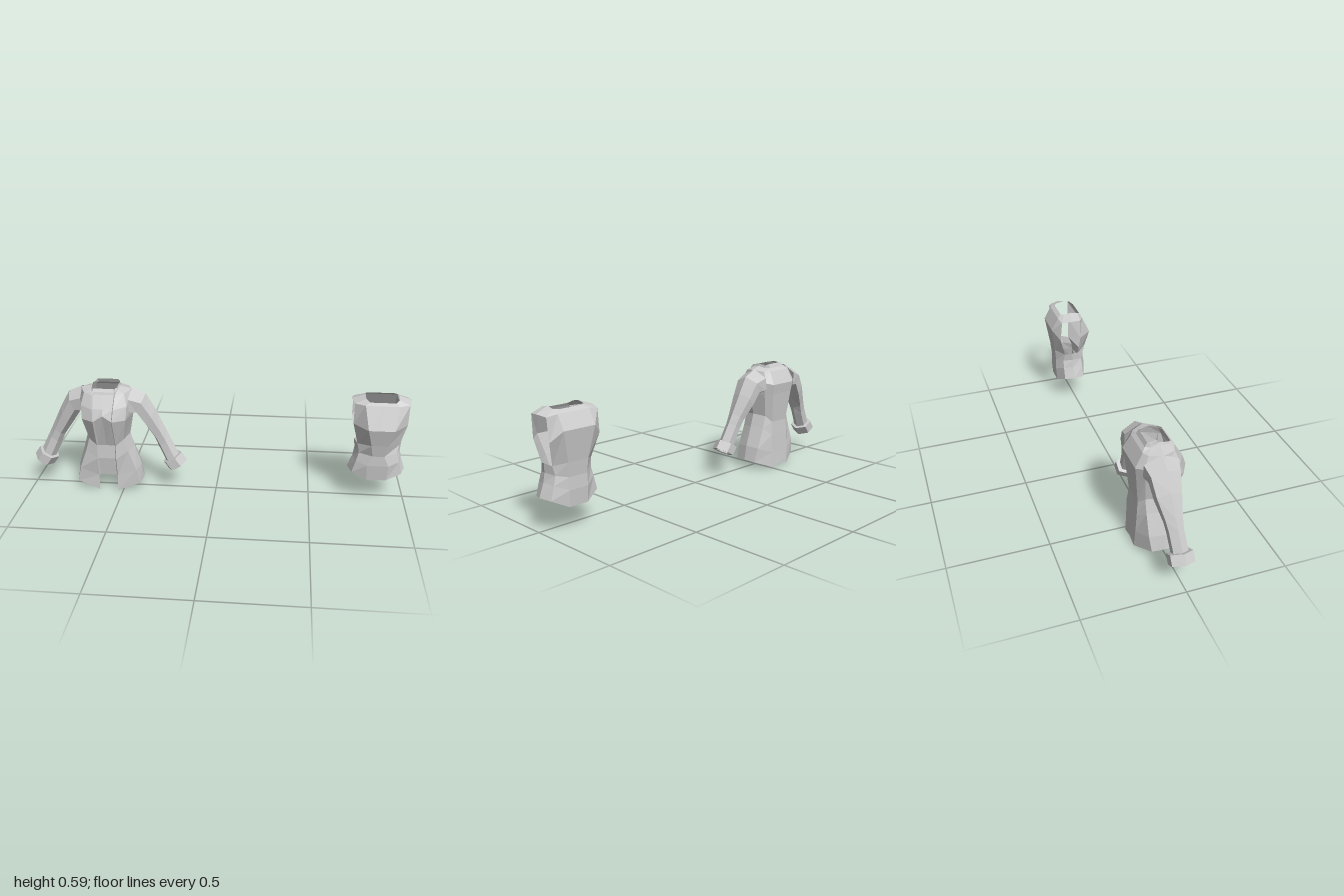
import * as THREE from 'three';

const material = new THREE.MeshStandardMaterial({ color: 0xcccccc, flatShading: true, side: THREE.DoubleSide });

// Skins a stack of closed rings; skip(level, column) leaves a quad open.
function loft(name, rings, skip = () => false) {
  const n = rings[0].length, index = [];
  for (let l = 0; l < rings.length - 1; l++) {
    for (let i = 0; i < n; i++) {
      if (skip(l, i)) continue;
      const j = (i + 1) % n, a = l * n + i, b = l * n + j;
      index.push(a, b, b + n, a, b + n, a + n);
    }
  }
  let geometry = new THREE.BufferGeometry();
  geometry.setAttribute('position', new THREE.Float32BufferAttribute(rings.flat(2), 3));
  geometry.setIndex(index);
  geometry = geometry.toNonIndexed();
  geometry.computeVertexNormals();
  const mesh = new THREE.Mesh(geometry, material);
  mesh.name = name;
  return mesh;
}

// Half a torso section, front centre round the +x side to back centre, from
// front edge x, y, z | corner x, side x, y, front z, back z | back edge x, y, z
const halfRing = ([fx, fy, fz, cx, sx, sy, sf, sb, bx, by, bz]) => [
  [0, fy, fz], [fx, fy, fz],
  [cx, sy, sf], [sx, sy + 0.008, (sf + sb) / 2], [cx, sy, sb],
  [bx, by, bz], [0, by, bz]];

const mirrorRing = (half) => [...half, ...half.slice(1, -1).reverse().map(([x, y, z]) => [-x, y, z])];

// Adds a small step between the recessed front panel and the raised flap.
const withFlap = ([centre, edge, ...rest], step) => [
  [centre[0], centre[1], centre[2] - step], [edge[0] - 0.005, edge[1], edge[2] - step], edge, ...rest];

// Six-sided sleeve section: outer x, y, inner x, y, front z, back z
function sleeveRing([ox, oy, ix, iy, front, back]) {
  const mid = (front + back) / 2;
  return [[1, mid], [0.72, front], [0.25, front], [0, mid], [0.25, back], [0.72, back]]
    .map(([u, z]) => [ix + (ox - ix) * u, iy + (oy - iy) * u, z]);
}

function createJacket() {
  const jacket = new THREE.Group();
  jacket.name = 'jacket';

  // Hem, hip, belly, waist, bust, chest, shoulder, collar base, collar top
  const halves = [
    [0.05, 0, 0.074, 0.17, 0.182, 0.04, 0.058, -0.07, 0.06, 0, -0.12],
    [0.05, 0.085, 0.068, 0.153, 0.17, 0.12, 0.062, -0.08, 0.065, 0.09, -0.115],
    [0.05, 0.19, 0.081, 0.113, 0.135, 0.23, 0.06, -0.08, 0.065, 0.19, -0.11],
    [0.05, 0.265, 0.076, 0.093, 0.115, 0.3, 0.06, -0.08, 0.06, 0.265, -0.105],
    [0.05, 0.425, 0.131, 0.115, 0.14, 0.425, 0.095, -0.09, 0.078, 0.43, -0.122],
    [0.055, 0.485, 0.11, 0.12, 0.15, 0.495, 0.075, -0.1, 0.085, 0.485, -0.13],
    [0.06, 0.55, 0.07, 0.105, 0.135, 0.555, 0.05, -0.075, 0.075, 0.555, -0.092],
    [0.06, 0.563, 0.06, 0.069, 0.073, 0.57, 0.035, -0.05, 0.055, 0.57, -0.075],
    [0.055, 0.578, 0.05, 0.066, 0.068, 0.582, 0.03, -0.048, 0.055, 0.592, -0.064],
  ].map(halfRing);
  halves[4][0][1] += 0.03; // front panel peaks at the bust
  halves[0][6][1] += 0.015; // back hem lifts in the middle
  const body = halves.map((half, l) => mirrorRing(withFlap(half, l < 7 ? 0.008 : 0.003)));
  const columns = body[0].length;
  // The bottom of the front panel is slit open.
  jacket.add(loft('jacketBody', body, (l, i) => l === 0 && (i < 2 || i >= columns - 2)));

  const sleeve = [
    [0.13, 0.567, 0.115, 0.42, 0.06, -0.105],
    [0.205, 0.533, 0.15, 0.425, 0.045, -0.095],
    [0.255, 0.445, 0.19, 0.365, 0.035, -0.085],
    [0.305, 0.34, 0.245, 0.285, 0.022, -0.06],
    [0.33, 0.29, 0.265, 0.24, 0.02, -0.052],
    [0.375, 0.2, 0.305, 0.155, 0.028, -0.045],
  ].map(sleeveRing);
  // Cuff wraps outward, then folds back inside
  const cuff = [
    [0.372, 0.195, 0.307, 0.158, 0.025, -0.042],
    [0.39, 0.205, 0.29, 0.147, 0.047, -0.064],
    [0.42, 0.163, 0.32, 0.104, 0.047, -0.064],
    [0.403, 0.155, 0.335, 0.115, 0.03, -0.047],
    [0.38, 0.18, 0.317, 0.142, 0.025, -0.042],
  ].map(sleeveRing);
  for (const [side, sign] of [['left', 1], ['right', -1]]) {
    const arm = new THREE.Group();
    arm.name = side + 'Arm';
    arm.add(loft(side + 'Sleeve', sleeve), loft(side + 'Cuff', cuff));
    arm.scale.x = sign;
    jacket.add(arm);
  }
  return jacket;
}

function createVest() {
  // Hem, belly, waist, underarm, bust, strap, neckline
  const rings = [
    [0.05, 0.125, 0.063, 0.128, 0.15, 0.158, 0.045, -0.07, 0.05, 0.12, -0.1],
    [0.055, 0.21, 0.072, 0.11, 0.125, 0.225, 0.045, -0.07, 0.05, 0.2, -0.105],
    [0.03, 0.265, 0.071, 0.098, 0.118, 0.27, 0.04, -0.068, 0.05, 0.26, -0.102],
    [0.042, 0.33, 0.084, 0.107, 0.122, 0.315, 0.022, -0.06, 0.055, 0.33, -0.108],
    [0.065, 0.425, 0.108, 0.137, 0.14, 0.43, 0.032, -0.09, 0.085, 0.48, -0.128],
    [0.085, 0.54, 0.057, 0.138, 0.152, 0.542, 0.035, -0.078, 0.085, 0.55, -0.088],
    [0.065, 0.555, 0.048, 0.083, 0.083, 0.567, 0.03, -0.05, 0.065, 0.565, -0.066],
  ].map(halfRing).map(mirrorRing);
  // Armholes: the two side columns on each side, between underarm and strap
  const armhole = new Set([2, 3, 8, 9]);
  const vest = new THREE.Group();
  vest.name = 'vest';
  vest.add(loft('vestBody', rings, (l, i) => (l === 3 || l === 4) && armhole.has(i)));
  return vest;
}

export function createModel() {
  const model = new THREE.Group();
  model.name = 'clothingSet';
  const jacket = createJacket();
  jacket.position.x = -0.578;
  const vest = createVest();
  vest.position.x = 0.846;
  model.add(jacket, vest);
  return model;
}
